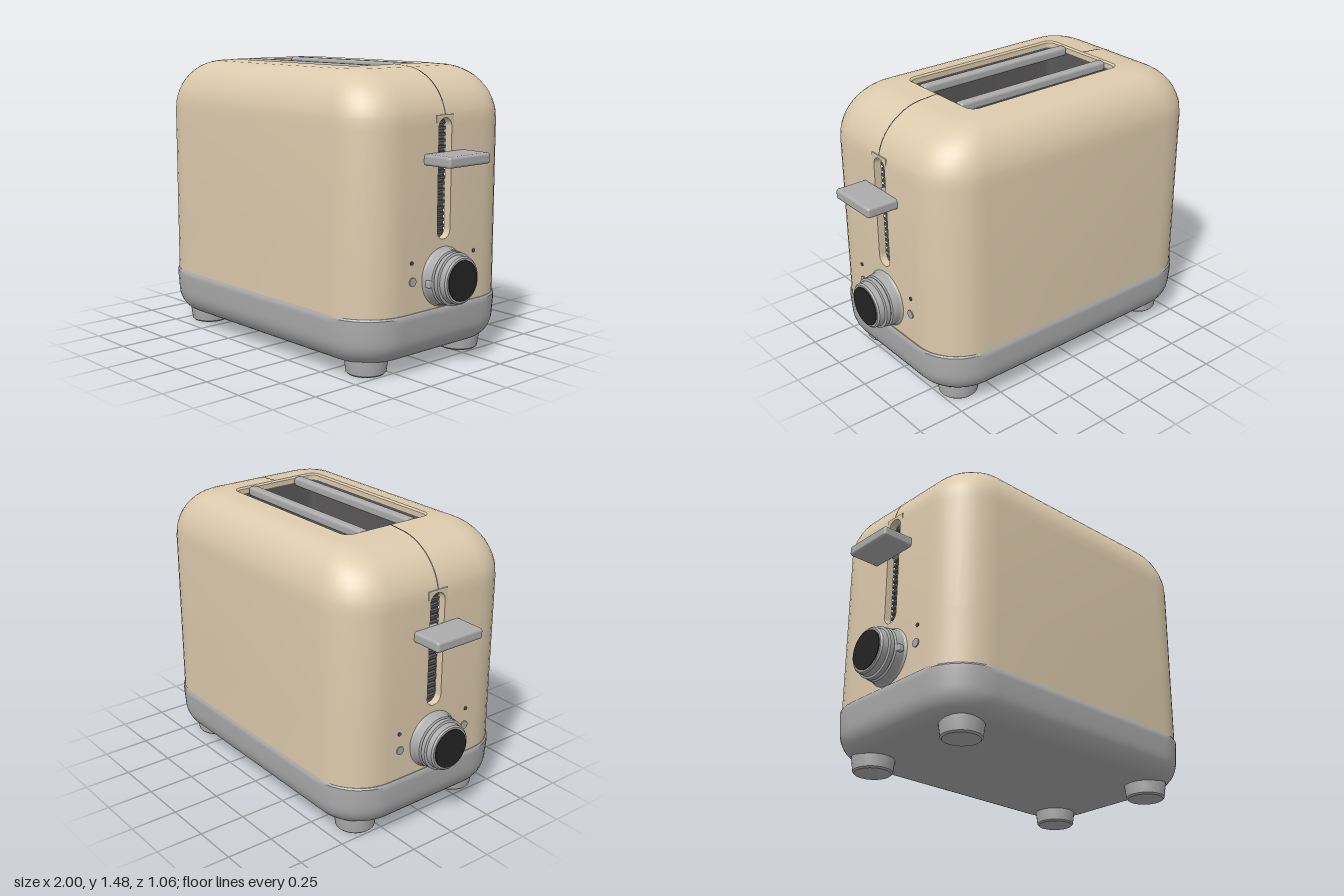
import * as THREE from 'three';
import { toCreasedNormals } from 'three/addons/utils/BufferGeometryUtils.js';
import { RoundedBoxGeometry } from 'three/addons/geometries/RoundedBoxGeometry.js';

const mat = (name, color) => {
  const m = new THREE.MeshStandardMaterial({ color });
  m.name = name;
  return m;
};

const STRIP = 0.06; // half width of the end panel that holds the lever slot

// Rounded rectangle loop [x, z]; both ends carry two extra points at z = +-STRIP
function ring({ hx, hz, r, s = 1 }, n = 9) {
  const pts = [];
  [[1, 1], [-1, 1], [-1, -1], [1, -1]].forEach(([sx, sz], c) => {
    for (let i = 0; i <= n; i++) {
      const a = (c + i / n) * Math.PI / 2;
      pts.push([sx * (hx - r) + r * Math.cos(a), sz * (hz - r) + r * Math.sin(a)]);
    }
    if (c === 1) pts.push([-hx, STRIP], [-hx, -STRIP]);
    if (c === 3) pts.push([hx, -STRIP], [hx, STRIP]);
  });
  return pts.map(([x, z]) => [x * s, z * s]);
}

// Skin over rows of loops; rows marked "open" leave the end panels out
function loft(rows) {
  const loops = rows.map((row) => ring(row));
  const N = loops[0].length;
  const pos = loops.flatMap((l, j) => l.flatMap(([x, z]) => [x, rows[j].y, z]));
  const idx = [];
  for (let j = 0; j < rows.length - 1; j++) {
    for (let i = 0; i < N; i++) {
      if (rows[j].open && (i === N / 2 - 2 || i === N - 2)) continue;
      const a = j * N + i, b = j * N + (i + 1) % N;
      idx.push(a, a + N, b, b, a + N, b + N);
    }
  }
  const g = new THREE.BufferGeometry();
  g.setAttribute('position', new THREE.Float32BufferAttribute(pos, 3));
  g.setIndex(idx);
  return toCreasedNormals(g, 0.6);
}

// Shell size at the angle t of its rounded shoulder
const shoulder = (t) => {
  const k = 1 - Math.cos(t);
  return { y: 1.2 + 0.268 * Math.sin(t), hx: 0.835 - 0.29 * k, hz: 0.522 - 0.2 * k, r: 0.24 - 0.16 * k };
};
const SLOT_TOP = Math.asin(0.05 / 0.268);

export function createModel() {
  const cream = mat('cream enamel', 0xdccaac);
  const metal = mat('brushed metal', 0xacacac);
  const dark = mat('dark interior', 0x5a5858);
  const black = mat('black dial face', 0x242424);
  const toaster = new THREE.Group();
  toaster.name = 'toaster';
  const add = (parent, name, geo, material, x = 0, y = 0, z = 0) => {
    const m = new THREE.Mesh(geo, material);
    m.name = name;
    m.position.set(x, y, z);
    parent.add(m);
    return m;
  };

  // Shell with rounded shoulders and an opening on top
  const side = { hx: 0.835, hz: 0.522, r: 0.24 };
  const rows = [{ ...side, y: 0.3 }, { ...side, y: 0.6, open: true }, { ...side, y: 1.2, open: true }];
  rows.push(shoulder(SLOT_TOP));
  for (let i = 2; i <= 12; i++) rows.push(shoulder((i / 12) * Math.PI / 2));
  const mouth = { hx: 0.47, hz: 0.26, r: 0.04 };
  rows.push({ hx: 0.48, hz: 0.27, r: 0.05, y: 1.474 }, { ...mouth, y: 1.466 }, { ...mouth, y: 1.44 });
  add(toaster, 'shell', loft(rows), cream);

  // Toasting chamber and the two bars across it
  add(toaster, 'chamber', loft([{ ...mouth, y: 1.44 }, { ...mouth, y: 0.42 }, { ...mouth, y: 0.42, s: 0 }]), dark);
  for (const z of [-0.152, 0.148]) {
    add(toaster, 'breadBar', new RoundedBoxGeometry(0.94, 0.05, 0.052, 3, 0.015), metal, 0, 1.45, z);
  }

  // Base tray with a rounded underside and a rim
  const tray = [{ hx: 0.73, hz: 0.41, r: 0.16, y: 0.07, s: 0 }];
  for (let i = 0; i <= 8; i++) {
    const t = (i / 8) * Math.PI / 2, k = 1 - Math.sin(t);
    tray.push({ hx: 0.84 - 0.1 * k, hz: 0.523 - 0.1 * k, r: 0.245 - 0.08 * k, y: 0.2 - 0.13 * Math.cos(t) });
  }
  const rim = { hx: 0.846, hz: 0.528, r: 0.25 };
  tray.push({ ...rim, y: 0.275 }, { ...rim, y: 0.3 }, { hx: 0.84, hz: 0.522, r: 0.245, y: 0.309 },
    { hx: 0.8, hz: 0.49, r: 0.21, y: 0.309 });
  add(toaster, 'base', loft(tray), metal);

  // Feet
  const footProfile = [[0, 0], [0.092, 0], [0.1, 0.008], [0.11, 0.08], [0.11, 0.12]].map((p) => new THREE.Vector2(...p));
  const footGeo = toCreasedNormals(new THREE.LatheGeometry(footProfile, 32), 0.6);
  for (const x of [-0.645, 0.645]) for (const z of [-0.333, 0.333]) add(toaster, 'foot', footGeo, metal, x, 0, z);

  // End panel with a round-ended slot, drawn as (-z, y)
  const panelShape = new THREE.Shape([[-STRIP, 0.6], [STRIP, 0.6], [STRIP, 1.25], [-STRIP, 1.25]]
    .map((p) => new THREE.Vector2(...p)));
  const slot = new THREE.Path();
  slot.absarc(0, 1.19, 0.045, 0, Math.PI, false);
  slot.absarc(0, 0.69, 0.045, Math.PI, 2 * Math.PI, false);
  slot.closePath();
  panelShape.holes.push(slot);
  const panelGeo = new THREE.ExtrudeGeometry(panelShape, { depth: 0.04, bevelEnabled: false, curveSegments: 16 });
  panelGeo.rotateY(Math.PI / 2);

  // Knob: a stepped lathe
  const knobProfile = [[0.15, 0], [0.14, 0.012], [0.136, 0.055], [0.126, 0.06], [0.132, 0.066], [0.132, 0.088],
    [0.12, 0.092], [0.118, 0.122], [0.11, 0.13], [0, 0.13]].map((p) => new THREE.Vector2(...p));
  const knobGeo = toCreasedNormals(new THREE.LatheGeometry(knobProfile, 48), 0.5).rotateZ(-Math.PI / 2);
  const discGeo = (r, d) => new THREE.CylinderGeometry(r, r, d, 32).rotateZ(-Math.PI / 2);

  // Seam ribbon over the shoulder, from the slot to the mouth
  const seamPos = [], seamIdx = [];
  for (let i = 0; i <= 16; i++) {
    const t = SLOT_TOP + (Math.min(i, 15) / 15) * (Math.PI / 2 - SLOT_TOP);
    const p = shoulder(t);
    const x = i === 16 ? 0.475 : p.hx + 0.003 * Math.cos(t), y = i === 16 ? 1.477 : p.y + 0.003;
    seamPos.push(x, y, 0.004, x, y, -0.004);
    if (i < 16) seamIdx.push(2 * i, 2 * i + 1, 2 * i + 2, 2 * i + 2, 2 * i + 1, 2 * i + 3);
  }
  const seamGeo = new THREE.BufferGeometry();
  seamGeo.setAttribute('position', new THREE.Float32BufferAttribute(seamPos, 3));
  seamGeo.setIndex(seamIdx);
  seamGeo.computeVertexNormals();

  // Controls on both ends
  for (const s of [1, -1]) {
    const end = new THREE.Group();
    end.name = s > 0 ? 'leftControls' : 'rightControls';
    if (s < 0) end.rotation.y = Math.PI;
    toaster.add(end);
    add(end, 'slotPanel', panelGeo, cream, 0.795);
    add(end, 'slotBack', new THREE.BoxGeometry(0.02, 0.65, 0.12), dark, 0.765, 0.925);
    for (let i = 0; i < 19; i++) {
      add(end, 'slotRib', new THREE.BoxGeometry(0.02, 0.014, 0.1), dark, 0.785, 0.67 + i * 0.03);
    }
    add(end, 'seam', seamGeo, dark);
    add(end, 'lever', new RoundedBoxGeometry(0.175, 0.054, 0.288, 3, 0.014), metal, 0.9125, 1.045);
    add(end, 'leverStem', new THREE.BoxGeometry(0.08, 0.03, 0.06), metal, 0.81, 1.045);
    add(end, 'knob', knobGeo, metal, 0.833, 0.46);
    add(end, 'dialFace', discGeo(0.101, 0.008), black, 0.964, 0.46);
    add(end, 'knobPointer', new RoundedBoxGeometry(0.03, 0.035, 0.03, 2, 0.006), metal, 0.875, 0.45, 0.14 * s);
    for (const z of [-0.213, 0.213]) {
      add(end, 'button', discGeo(0.022, 0.009), metal, 0.836, 0.465, z);
      add(end, 'indicator', discGeo(0.01, 0.009), dark, 0.835, 0.557, z * 1.03);
    }
  }
  return toaster;
}
